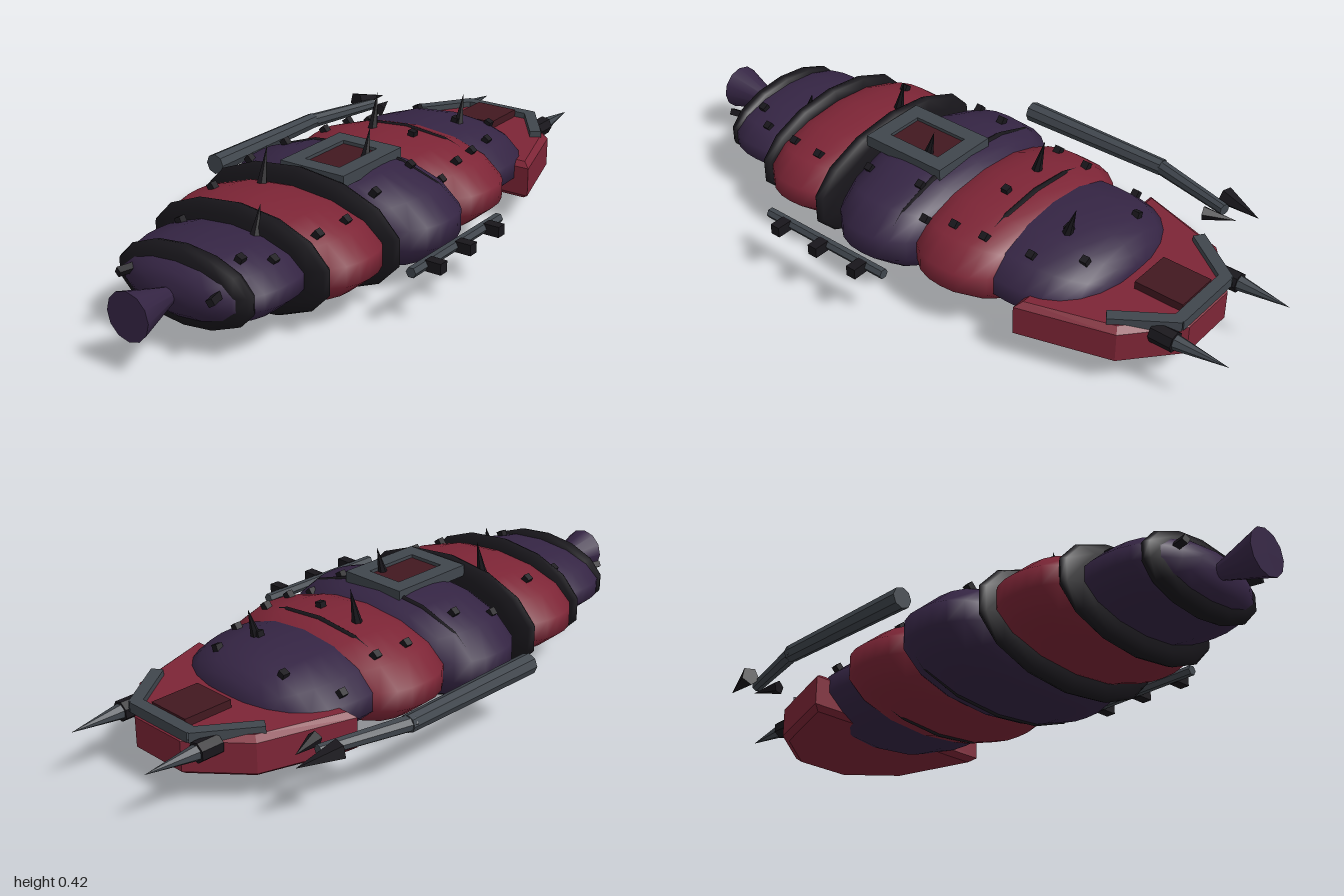
import * as THREE from 'three';

const mat = (color, flat = false) => new THREE.MeshStandardMaterial({ color, flatShading: flat });
const red = mat(0x7d2536), purple = mat(0x352544), black = mat(0x18161b);
const blackFlat = mat(0x18161b, true), grey = mat(0x40464d, true), dark = mat(0x421820, true);
const CY = 0.176;

// fullness of a body segment at t = -1..1 along its length
const bulge = t => Math.pow(Math.max(0, 1 - Math.pow(Math.abs(t), 2.5)), 0.4);

export function createModel() {
  const root = new THREE.Group();
  const add = (name, geo, material, parent = root) => {
    const m = new THREE.Mesh(geo, material);
    m.name = name;
    parent.add(m);
    return m;
  };
  const group = name => {
    const g = new THREE.Group();
    g.name = name;
    root.add(g);
    return g;
  };
  const box = (name, size, pos, material, parent) => {
    const m = add(name, new THREE.BoxGeometry(...size), material, parent);
    m.position.set(...pos);
    return m;
  };
  // tapered rod from point a to point b
  const rod = (name, a, b, ra, rb, material, parent, sides = 6) => {
    const A = new THREE.Vector3(...a), B = new THREE.Vector3(...b), d = B.clone().sub(A);
    const m = add(name, new THREE.CylinderGeometry(rb, ra, d.length(), sides), material, parent);
    m.position.copy(A).add(B).multiplyScalar(0.5);
    m.quaternion.setFromUnitVectors(new THREE.Vector3(0, 1, 0), d.normalize());
    return m;
  };
  // flattened barrel lying along x
  const barrel = (name, x, rx, ry, rz, material, steps = 14) => {
    const pts = [];
    for (let i = 0; i <= steps; i++) {
      const t = -Math.cos(Math.PI * i / steps);
      pts.push(new THREE.Vector2(i % steps ? bulge(t) : 0, t));
    }
    const g = new THREE.LatheGeometry(pts, 14, Math.PI / 2);
    g.rotateZ(-Math.PI / 2);
    g.scale(rx, ry, rz);
    add(name, g, material).position.set(x, CY, 0);
  };

  // body segments: x, half length, half height, half width
  const segments = [
    [-0.67, 0.19, 0.106, 0.255, purple], [-0.43, 0.19, 0.138, 0.34, red],
    [-0.1, 0.205, 0.16, 0.383, purple], [0.175, 0.205, 0.142, 0.355, red],
    [0.365, 0.235, 0.125, 0.292, purple],
  ];
  segments.forEach((s, i) => barrel('bodySegment' + (i + 1), ...s));
  const topY = (x, z) => CY + Math.max(...segments.map(([c, rx, ry, rz]) => {
    const r = bulge((x - c) / rx);
    return Math.abs(x - c) >= rx ? 0 : ry * Math.sqrt(Math.max(0, r * r - (z / rz) ** 2));
  }));

  // dark bands between the segments
  [[-0.785, 0.042, 0.114, 0.232], [-0.568, 0.036, 0.155, 0.31], [-0.307, 0.038, 0.176, 0.352],
   [-0.02, 0.022, 0.16, 0.363], [0.24, 0.02, 0.145, 0.318]]
    .forEach((b, i) => barrel('band' + (i + 1), ...b, black, 8));

  // dorsal spikes
  const spikes = group('dorsalSpikes');
  [[-0.6, 0.08, 0.09], [-0.365, -0.085, 0.115], [-0.1, 0.08, 0.1], [0.175, -0.085, 0.12], [0.41, 0.08, 0.1]]
    .forEach(([x, z, h]) => {
      const y = topY(x, z) - 0.015;
      rod('spike', [x, y, z], [x + 0.028, y + h, z], 0.017, 0, blackFlat, spikes);
    });

  // small nubs scattered over the shell
  const nubs = group('nubs');
  [[-0.73, 0.14], [-0.66, 0.19], [-0.62, -0.16], [-0.51, 0.22], [-0.4, 0.23], [-0.44, -0.2],
   [-0.22, 0.2], [-0.19, -0.27], [-0.07, -0.23], [-0.03, 0.19], [0.04, 0.25], [0.14, 0.24],
   [0.24, 0.23], [0.14, -0.24], [0.18, 0.06], [0.25, -0.23], [0.38, 0.2], [0.41, 0.07], [0.41, -0.26], [0.51, 0.13], [0.5, -0.13]]
    .forEach(([x, z]) => {
      box('nub', [0.022, 0.025, 0.022], [x, topY(x, z), z], blackFlat, nubs).rotation.x = z * 3;
    });

  // back hatch: square frame with a dark panel
  const hatch = group('backHatch');
  const square = (P, w, d) => {
    const p = new P();
    p.moveTo(-w, -d); p.lineTo(w, -d); p.lineTo(w, d); p.lineTo(-w, d); p.closePath();
    return p;
  };
  const frame = square(THREE.Shape, 0.142, 0.11);
  frame.holes.push(square(THREE.Path, 0.092, 0.06));
  const frameGeo = new THREE.ExtrudeGeometry(frame, { depth: 0.035, bevelEnabled: false });
  frameGeo.rotateX(Math.PI / 2);
  add('hatchFrame', frameGeo, grey, hatch).position.set(-0.143, 0.346, 0.03);
  box('hatchPanel', [0.184, 0.02, 0.12], [-0.143, 0.326, 0.03], dark, hatch);

  // wedge-shaped head with chamfered edges
  const head = group('head');
  const outline = new THREE.Shape();
  [[0.42, 0.33], [0.7, 0.245], [0.83, 0.095], [0.83, -0.095], [0.7, -0.245], [0.42, -0.33]]
    .forEach(([x, z], i) => i ? outline.lineTo(x, z) : outline.moveTo(x, z));
  outline.closePath();
  const headGeo = new THREE.ExtrudeGeometry(outline, {
    depth: 0.09, bevelThickness: 0.015, bevelSize: 0.02, bevelOffset: -0.02, bevelSegments: 1,
  });
  headGeo.rotateX(Math.PI / 2);
  add('headShell', headGeo, red, head).position.y = 0.188;
  box('headPanel', [0.155, 0.03, 0.14], [0.712, 0.212, 0], dark, head);

  // bumper and front prongs
  box('bumperFront', [0.036, 0.03, 0.24], [0.808, 0.206, 0], grey, head);
  for (const s of [1, -1]) {
    const arm = box('bumperArm', [0.2, 0.03, 0.036], [0.733, 0.206, s * 0.168], grey, head);
    arm.rotation.y = s * 0.61;
    rod('prongHub', [0.76, 0.18, s * 0.16], [0.83, 0.18, s * 0.16], 0.03, 0.03, blackFlat, head, 7);
    rod('prong', [0.8, 0.18, s * 0.16], [0.99, 0.18, s * 0.155], 0.027, 0, grey, head, 7);
  }

  // tail nozzle and stubs
  rod('tailNozzle', [-1, 0.17, 0], [-0.82, 0.17, 0], 0.07, 0.014, purple, root, 12);
  for (const s of [1, -1])
    rod('tailStub', [-0.8, 0.2, s * 0.14], [-0.87, 0.2, s * 0.157], 0.014, 0.014, blackFlat, root, 4);

  // jointed claw arm on the -z side
  const claw = group('clawArm');
  rod('upperArm', [-0.13, 0.2, -0.463], [0.37, 0.2, -0.465], 0.032, 0.026, grey, claw, 8);
  rod('forearm', [0.35, 0.2, -0.468], [0.63, 0.2, -0.4], 0.024, 0.018, grey, claw, 8);
  rod('clawOuter', [0.6, 0.21, -0.448], [0.73, 0.2, -0.425], 0.03, 0, blackFlat, claw, 5);
  rod('clawInner', [0.59, 0.2, -0.348], [0.685, 0.2, -0.375], 0.022, 0, blackFlat, claw, 5);

  // side rail on the +z side
  const rail = group('sideRail');
  rod('rail', [-0.4, 0.18, 0.44], [0.05, 0.18, 0.44], 0.016, 0.016, grey, rail);
  for (const x of [-0.325, -0.175, -0.025])
    box('railStub', [0.032, 0.032, 0.05], [x, 0.18, 0.47], blackFlat, rail);

  return root;
}
